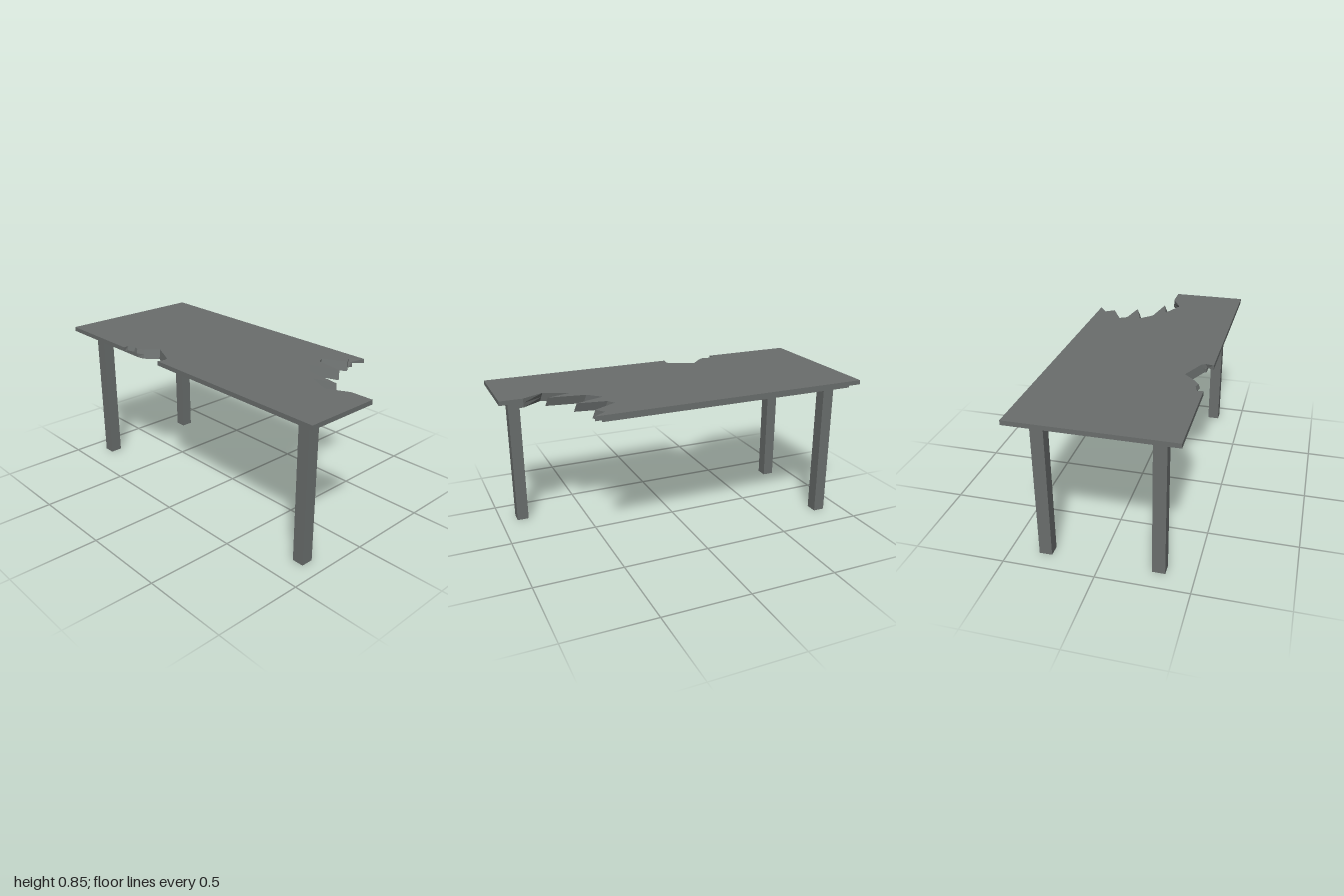
import * as THREE from 'three';

const wood = new THREE.MeshStandardMaterial({ color: 0x6a6e6d });
wood.name = 'weathered grey';

// Broken edges as [x, z], running counter-clockwise seen from above
const frontNotch = [
  [-0.46, 0.435], [-0.465, 0.402], [-0.42, 0.387], [-0.385, 0.395], [-0.35, 0.37],
  [-0.285, 0.305], [-0.14, 0.368], [-0.128, 0.39], [-0.138, 0.435],
];
const underNotch = [
  [-0.385, 0.395], [-0.35, 0.37], [-0.285, 0.305], [-0.14, 0.368], [-0.13, 0.395],
];
const cornerBreak = [
  [0.75, 0.06], [0.615, -0.002], [0.745, -0.037], [0.54, -0.07], [0.47, -0.138],
  [0.632, -0.195], [0.47, -0.222], [0.445, -0.265], [0.575, -0.335], [0.54, -0.385],
];

// Outline of a slab with both breaks; splintered points lean outward by `lean` layers
function outline(halfX, halfZ, notch, backX, lean) {
  const shift = ([x, z]) => [x + 0.006 * lean, z + 0.008 * lean];
  const last = notch.length - 1;
  return [
    [-halfX, halfZ],
    ...notch.map((p, i) => (i === 0 || i === last ? p : shift(p))),
    [halfX, halfZ], [halfX, 0], [0.87, 0],
    ...cornerBreak.map(shift),
    [backX, -halfZ], [-halfX, -halfZ],
  ];
}

// Closed solid between two matching outlines
function slab(name, lower, upper, y0, y1) {
  const pos = [];
  const put = (y, ...pts) => pts.forEach(([x, z]) => pos.push(x, y, z));
  const cap = (ring, y, flip) => {
    const pts = ring.map(([x, z]) => new THREE.Vector2(x, -z));
    for (const [a, b, c] of THREE.ShapeUtils.triangulateShape(pts, [])) {
      if (flip) put(y, ring[a], ring[c], ring[b]);
      else put(y, ring[a], ring[b], ring[c]);
    }
  };
  cap(upper, y1, false);
  cap(lower, y0, true);
  for (let i = 0; i < upper.length; i++) {
    const j = (i + 1) % upper.length;
    put(y0, lower[i], lower[j]);
    put(y1, upper[j]);
    put(y0, lower[i]);
    put(y1, upper[j], upper[i]);
  }
  const geo = new THREE.BufferGeometry();
  geo.setAttribute('position', new THREE.Float32BufferAttribute(pos, 3));
  geo.computeVertexNormals();
  const mesh = new THREE.Mesh(geo, wood);
  mesh.name = name;
  return mesh;
}

export function createModel() {
  const table = new THREE.Group();
  table.name = 'brokenTable';

  // Table top and the smaller board beneath it
  table.add(slab('tableTop',
    outline(1, 0.435, frontNotch, 0.61, 1),
    outline(1, 0.435, frontNotch, 0.61, 0), 0.825, 0.85));
  table.add(slab('underBoard',
    outline(0.955, 0.395, underNotch, 0.56, 2),
    outline(0.955, 0.395, underNotch, 0.56, 1), 0.8, 0.825));

  // Three remaining legs; the one under the broken corner is gone
  const legs = [
    ['frontRightLeg', -0.855, 0.311],
    ['backRightLeg', -0.855, -0.304],
    ['frontLeftLeg', 0.872, 0.311],
  ];
  for (const [name, x, z] of legs) {
    const leg = new THREE.Mesh(new THREE.BoxGeometry(0.067, 0.802, 0.07), wood);
    leg.position.set(x, 0.401, z);
    leg.name = name;
    table.add(leg);
  }
  return table;
}
